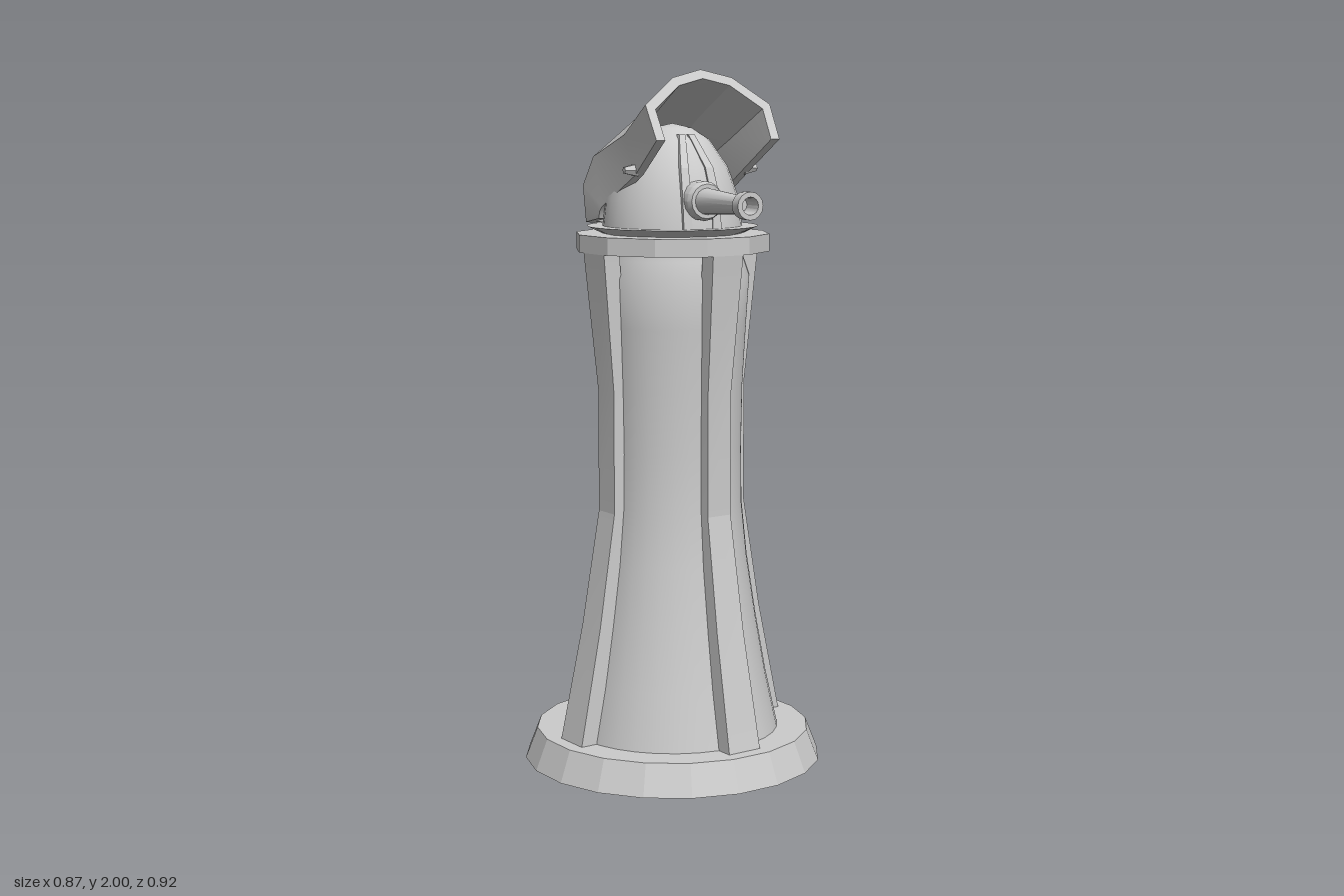
import * as THREE from 'three';
import { toCreasedNormals } from 'three/addons/utils/BufferGeometryUtils.js';

const material = new THREE.MeshStandardMaterial({ color: 0xcccccc, side: THREE.DoubleSide });
const AXIS_Z = -0.027; // tower axis
const TWIST = THREE.MathUtils.degToRad(10); // struts and rim are turned by this

function addPart(parent, name, geometry, crease = 0.5) {
  const mesh = new THREE.Mesh(toCreasedNormals(geometry, crease), material);
  mesh.name = name;
  parent.add(mesh);
  return mesh;
}

// Skin closed cross-sections; each ring turns clockwise seen along the path
function loft(rings) {
  const n = rings[0].length;
  const pos = [];
  const quad = (a, b, c, d) => pos.push(...a, ...b, ...c, ...a, ...c, ...d);
  for (let s = 0; s < rings.length - 1; s++) {
    for (let i = 0; i < n; i++) {
      const j = (i + 1) % n;
      quad(rings[s][i], rings[s][j], rings[s + 1][j], rings[s + 1][i]);
    }
  }
  const first = rings[0], last = rings[rings.length - 1];
  for (let i = 0; i < n / 2 - 1; i++) {
    const k = n - 1 - i;
    quad(first[i], first[k], first[k - 1], first[i + 1]);
    quad(last[i], last[i + 1], last[k - 1], last[k]);
  }
  const geometry = new THREE.BufferGeometry();
  geometry.setAttribute('position', new THREE.Float32BufferAttribute(pos, 3));
  geometry.computeVertexNormals();
  return geometry;
}

function lathe(points, segments) {
  return new THREE.LatheGeometry(points.map(([r, y]) => new THREE.Vector2(r, y)), segments);
}

function buildTower() {
  const tower = new THREE.Group();
  tower.name = 'tower';
  tower.position.z = AXIS_Z;

  addPart(tower, 'base', new THREE.CylinderGeometry(0.4, 0.435, 0.09, 20), 0.1).position.y = 0.045;

  // Waisted column with a bevelled top
  addPart(tower, 'column', lathe([
    [0.31, 0.09], [0.275, 0.25], [0.245, 0.42], [0.218, 0.6], [0.202, 0.76],
    [0.2, 0.92], [0.203, 1.1], [0.213, 1.28], [0.222, 1.42], [0.205, 1.47], [0.2, 1.5],
  ], 32));

  addPart(tower, 'topRim', new THREE.CylinderGeometry(0.28, 0.28, 0.05, 12, 1, false,
    TWIST + Math.PI / 12), 0.1).position.y = 1.515;

  // Four struts: height, inner radius, outer radius, half width
  const profile = [
    [0.09, 0.275, 0.355, 0.054], [0.42, 0.215, 0.285, 0.046], [0.75, 0.18, 0.23, 0.04],
    [1.1, 0.18, 0.23, 0.04], [1.5, 0.218, 0.27, 0.052],
  ];
  for (let i = 0; i < 4; i++) {
    const rings = profile.map(([y, ri, ro, w]) => [[-w, y, ro], [w, y, ro], [w, y, ri], [-w, y, ri]]);
    addPart(tower, 'strut', loft(rings), 0.1).rotation.y = TWIST + i * Math.PI / 2;
  }
  return tower;
}

function buildHood() {
  // Half sections from ridge to lower edge, running front to back
  const halves = [
    [[0, 2.0, 0.155], [0.09, 1.978, 0.168], [0.19, 1.905, 0.205], [0.187, 1.81, 0.27]],
    [[0, 1.91, -0.03], [0.085, 1.89, -0.02], [0.176, 1.82, 0.03], [0.174, 1.71, 0.1]],
    [[0, 1.83, -0.21], [0.1, 1.815, -0.185], [0.19, 1.755, -0.155], [0.187, 1.615, -0.1]],
    [[0, 1.69, -0.335], [0.105, 1.685, -0.29], [0.195, 1.67, -0.22], [0.19, 1.6, -0.112]],
    [[0, 1.55, -0.33], [0.105, 1.553, -0.285], [0.19, 1.565, -0.21], [0.188, 1.58, -0.12]],
  ];
  const rings = halves.map((half) => {
    const outer = [
      ...half.slice(1).reverse().map(([x, y, z]) => [-x, y, z]),
      ...half,
    ];
    // Inner skin is drawn in towards the middle of the lower edge
    const [, cy, cz] = half[3];
    const inner = outer.map(([x, y, z]) => [x * 0.86, y + (cy - y) * 0.13, z + (cz - z) * 0.13]);
    return [...outer, ...inner.reverse()];
  });
  return loft(rings);
}

function buildTurret() {
  const turret = new THREE.Group();
  turret.name = 'turret';

  const plate = addPart(turret, 'swivelPlate', new THREE.CylinderGeometry(0.245, 0.2, 0.022, 32));
  plate.position.set(0, 1.55, AXIS_Z);

  const domeProfile = [[0.2, 1.56], [0.19, 1.64], [0.157, 1.73], [0.105, 1.805], [0.055, 1.838], [0, 1.85]];
  addPart(turret, 'dome', lathe(domeProfile, 28), 0.6).position.z = AXIS_Z;

  addPart(turret, 'hood', buildHood(), 0.3);

  // Rails beside the gun slot, closing in at the top: height, depth, inner x, outer x
  const rail = [
    [1.56, 0.172, 0.032, 0.058], [1.64, 0.165, 0.032, 0.058],
    [1.73, 0.135, 0.026, 0.05], [1.82, 0.07, 0.005, 0.024],
  ];
  for (const side of [-1, 1]) {
    const rings = rail.map(([y, z, a, b]) => {
      const [x0, x1] = side > 0 ? [a, b] : [-b, -a];
      return [[x0, y, z], [x1, y, z], [x1, y, z - 0.06], [x0, y, z - 0.06]];
    });
    addPart(turret, 'slotRail', loft(rings), 0.2);

    const knob = addPart(turret, 'hoodPivot', new THREE.CylinderGeometry(0.01, 0.02, 0.04, 6), 0.2);
    knob.rotation.z = -side * Math.PI / 2;
    knob.position.set(side * 0.185, 1.725, 0.095);
  }

  // Barrel with collar, flared muzzle and bore
  const barrel = addPart(turret, 'barrel', lathe([
    [0, 0.1], [0.055, 0.1], [0.055, 0.185], [0.048, 0.2], [0.037, 0.2], [0.025, 0.405],
    [0.038, 0.425], [0.038, 0.46], [0.024, 0.46], [0.02, 0.4], [0, 0.4],
  ], 16));
  barrel.rotation.x = Math.PI / 2;
  barrel.position.y = 1.64;
  return turret;
}

export function createModel() {
  const model = new THREE.Group();
  model.name = 'gunTower';
  model.add(buildTower(), buildTurret());
  return model;
}
